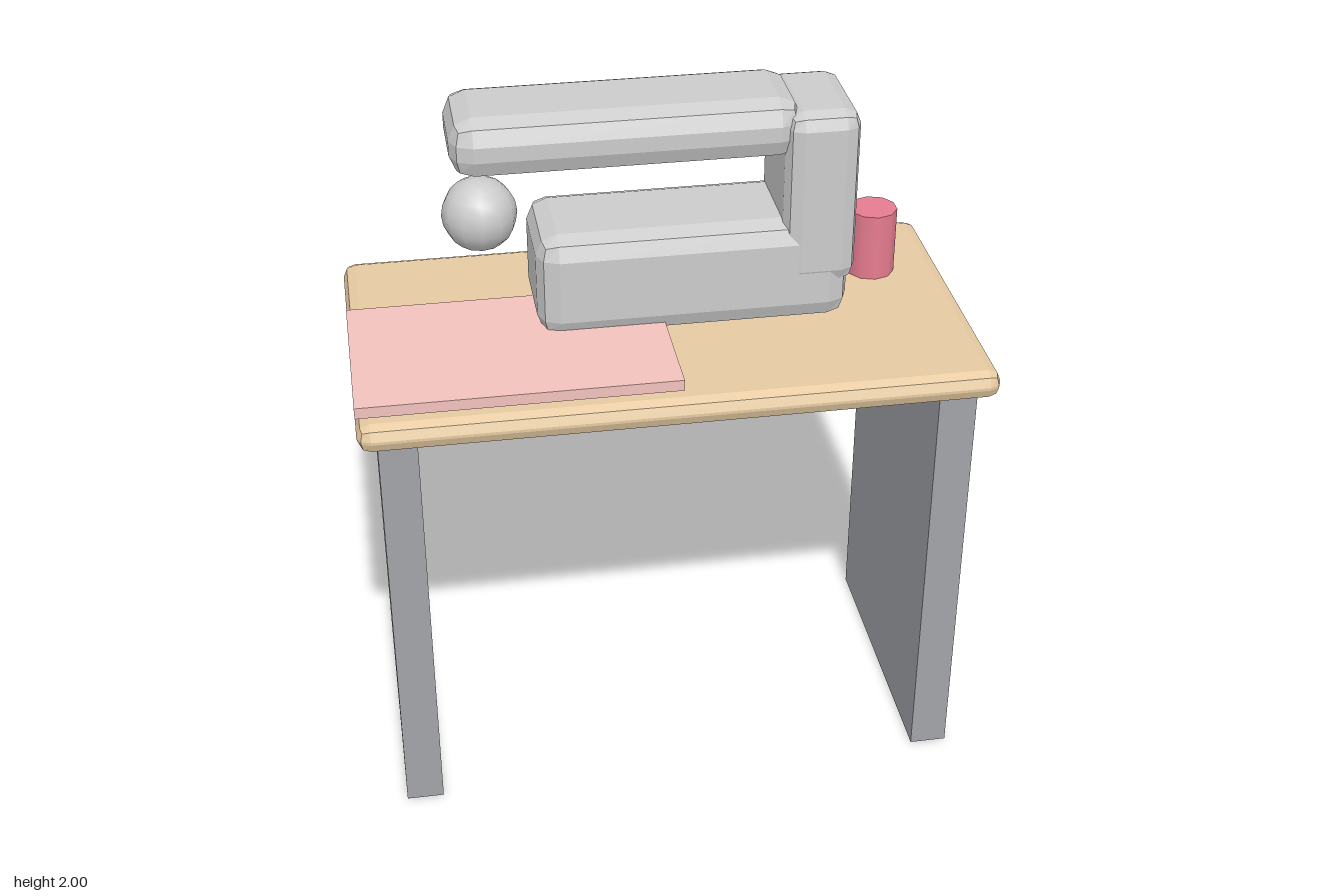
import * as THREE from 'three';
import { RoundedBoxGeometry } from 'three/addons/geometries/RoundedBoxGeometry.js';

const paint = (color, flatShading = true) => new THREE.MeshStandardMaterial({ color, flatShading });

export function createModel() {
  const model = new THREE.Group();
  const grey = paint(0xcccccc);
  const legGrey = paint(0xa2a3a8);
  const wood = paint(0xe6caa2);
  const cloth = paint(0xf2c2bc);

  const add = (name, geometry, material, x, y, z) => {
    const mesh = new THREE.Mesh(geometry, material);
    mesh.name = name;
    mesh.position.set(x, y, z);
    model.add(mesh);
    return mesh;
  };

  // Box given by its limits on each axis; a radius gives it bevelled edges
  const block = (name, material, [x0, x1], [y0, y1], [z0, z1], radius = 0) => {
    const size = [x1 - x0, y1 - y0, z1 - z0];
    const geometry = radius
      ? new RoundedBoxGeometry(...size, 1, radius)
      : new THREE.BoxGeometry(...size);
    return add(name, geometry, material, (x0 + x1) / 2, (y0 + y1) / 2, (z0 + z1) / 2);
  };

  // Table
  block('tableTop', wood, [-0.87, 0.87], [1.25, 1.33], [-0.475, 0.475], 0.036);
  for (const [name, side] of [['leftLeg', 1], ['rightLeg', -1]]) {
    const x = side * 0.765;
    block(name, legGrey, [x - 0.053, x + 0.053], [0, 1.255], [-0.417, 0.417]);
  }

  // Sewing machine: bed, upright column and overhead arm
  block('machineBed', grey, [-0.35, 0.52], [1.345, 1.65], [-0.21, 0.133], 0.06);
  block('machineColumn', grey, [0.33, 0.535], [1.46, 1.97], [-0.205, 0.135], 0.045);
  block('machineArm', grey, [-0.567, 0.378], [1.833, 2.0], [-0.19, 0.117], 0.062);

  // Hand wheel ball below the free end of the arm
  add('ball', new THREE.SphereGeometry(0.104, 12, 10), paint(0xcccccc, false), -0.488, 1.675, -0.037);

  // Folded cloth and thread spool on the table
  block('cloth', cloth, [-0.87, 0], [1.345, 1.377], [-0.09, 0.433]);
  add('spool', new THREE.CylinderGeometry(0.07, 0.07, 0.2, 10), paint(0xe67c90, false), 0.658, 1.43, -0.175);

  return model;
}
